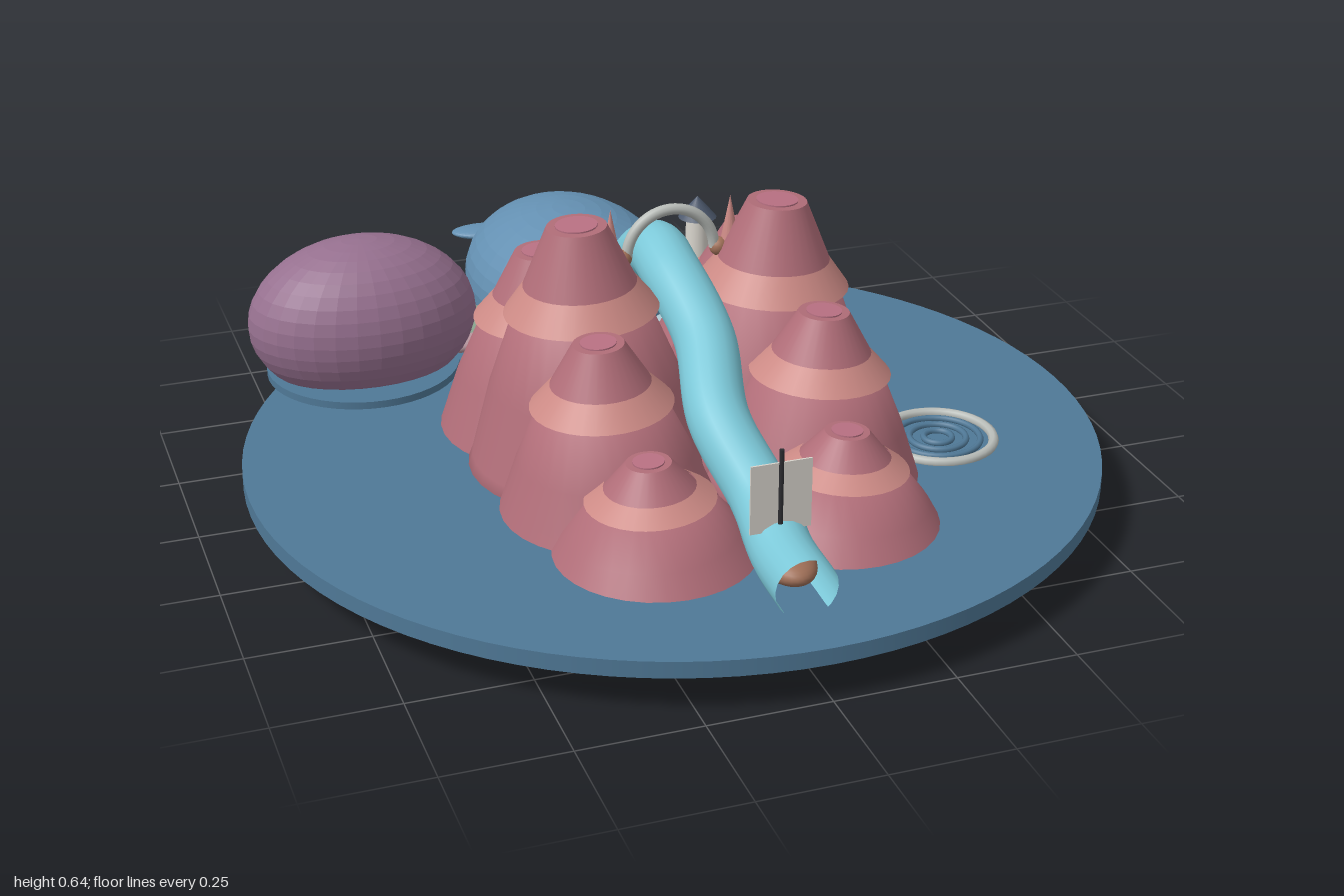
import * as THREE from 'three';

const V2 = (x, y) => new THREE.Vector2(x, y);
const V3 = (x, y, z) => new THREE.Vector3(x, y, z);
const mat = (color, flat = false) =>
  new THREE.MeshStandardMaterial({ color, flatShading: flat, side: THREE.DoubleSide });

const sea = mat(0x4f7896), rock = mat(0xb06d78), ledge = mat(0xcc8a85), crater = mat(0xb87082);
const water = mat(0x7cc8d8), skin = mat(0x6490b2, true), belly = mat(0xb4b8b4, true);
const mauve = mat(0x96708f, true), grass = mat(0x8ea892), shore = mat(0xb898a0);
const stone = mat(0xb8bcb8), cream = mat(0xd8d4cc), slate = mat(0x4c586c);
const wood = mat(0xa07058), dark = mat(0x2c2c30), foam = mat(0xb0ccd6), red = mat(0x7c3c44);

export function createModel() {
  const model = new THREE.Group();

  const add = (name, geometry, material, x = 0, y = 0, z = 0, parent = model) => {
    const mesh = new THREE.Mesh(geometry, material);
    mesh.name = name;
    mesh.position.set(x, y, z);
    parent.add(mesh);
    return mesh;
  };
  const ellipsoid = (name, material, r, x, y, z, yaw = 0) => {
    const mesh = add(name, new THREE.SphereGeometry(1, 32, 20), material, x, y, z);
    mesh.scale.set(...r);
    mesh.rotation.y = yaw;
    return mesh;
  };

  // Round sea plate
  add('seaDisc', new THREE.CylinderGeometry(0.905, 0.905, 0.035, 96), sea, 0, 0.0975, 0.095);

  // Two rows of stepped mountains, each a flared body, a pale ledge and a cap
  const mountain = (side, x, z, top, base, ledgeR, topR) => {
    const g = new THREE.Group();
    g.name = 'mountain';
    const h = top - 0.055, y1 = h * 0.69, y2 = h * 0.8;
    add('mountainBody', new THREE.LatheGeometry([
      V2(0, 0), V2(base, 0), V2(base * 0.86, h * 0.16), V2(base * 0.7, h * 0.42),
      V2(ledgeR * 0.85, y1 + 0.01), V2(0, y1 + 0.01),
    ], 32), rock, 0, 0, 0, g);
    add('mountainLedge', new THREE.CylinderGeometry(ledgeR * 0.7, ledgeR, y2 - y1, 32, 1, true),
      ledge, 0, (y1 + y2) / 2, 0, g);
    add('mountainCap', new THREE.CylinderGeometry(topR, ledgeR * 0.74, h - y2 + 0.01, 32),
      rock, 0, (h + y2 - 0.01) / 2, 0, g);
    add('crater', new THREE.CylinderGeometry(topR * 0.7, topR * 0.7, 0.006, 24), crater, 0, h, 0, g);
    g.position.set(side * x, 0.055, z);
    g.rotation.z = -side * 0.045;
    model.add(g);
  };
  for (const side of [-1, 1]) {
    mountain(side, 0.215, -0.07, 0.51, 0.275, 0.15, 0.055);
    mountain(side, 0.19, 0.13, 0.64, 0.285, 0.16, 0.062);
    mountain(side, 0.22, 0.34, 0.475, 0.255, 0.145, 0.052);
    mountain(side, 0.195, 0.55, 0.31, 0.25, 0.13, 0.045);
  }

  // Water channel climbing from the whale and running down to the front
  const course = new THREE.CatmullRomCurve3([
    V3(0, 0.22, -0.34), V3(-0.01, 0.35, -0.2), V3(0, 0.5, -0.02), V3(0, 0.49, 0.09),
    V3(0.015, 0.41, 0.25), V3(-0.015, 0.31, 0.42), V3(0.015, 0.21, 0.58),
    V3(0.005, 0.165, 0.72), V3(0, 0.16, 0.86),
  ]);
  add('waterChute', new THREE.TubeGeometry(course, 80, 0.063, 20), water);
  const lip = add('chuteRim', new THREE.TorusGeometry(0.064, 0.008, 8, 20, Math.PI), red, 0, 0.24, -0.315);
  lip.rotation.x = -0.7;

  // Small boat at the end of the chute, with mast and sail
  ellipsoid('boatHull', wood, [0.055, 0.033, 0.09], 0, 0.165, 0.75);
  add('mast', new THREE.CylinderGeometry(0.005, 0.005, 0.21, 8), dark, 0, 0.28, 0.72);
  add('sail', new THREE.BoxGeometry(0.125, 0.145, 0.004), cream, 0.002, 0.283, 0.715);

  // Arch over the summit, with a horn at each foot
  add('arch', new THREE.TorusGeometry(0.095, 0.012, 10, 32, Math.PI), stone, 0, 0.535, 0.085);
  for (const side of [-1, 1]) {
    add('archHorn', new THREE.ConeGeometry(0.026, 0.13, 16), ledge, side * 0.13, 0.58, 0.085);
    add('archFoot', new THREE.SphereGeometry(0.02, 16, 12), wood, side * 0.105, 0.535, 0.085);
  }

  // Whale with pale belly and two flukes
  ellipsoid('whaleBody', skin, [0.24, 0.178, 0.325], 0, 0.187, -0.638);
  ellipsoid('whaleBelly', belly, [0.2, 0.15, 0.26], 0, 0.15, -0.61);
  for (const side of [-1, 1])
    ellipsoid('whaleFluke', skin, [0.092, 0.015, 0.043], side * 0.11, 0.198, -0.95, side * 0.2);
  add('foamBlock', new THREE.BoxGeometry(0.36, 0.07, 0.09), foam, 0, 0.15, -0.375);

  // Large egg-shaped dome on its round collar
  ellipsoid('dome', mauve, [0.25, 0.18, 0.175], -0.565, 0.3, -0.327);
  add('domeCollar', new THREE.CylinderGeometry(0.21, 0.21, 0.016, 48), sea, -0.568, 0.182, -0.33);

  // Islands either side of the whale
  for (const side of [-1, 1]) {
    const x = side * 0.335, z = side > 0 ? -0.565 : -0.545, yaw = side * 0.14;
    ellipsoid('islandShore', shore, [0.18, 0.032, 0.122], x, 0.14, z, yaw);
    ellipsoid('islandGrass', grass, [0.15, 0.04, 0.098], x, 0.145, z, yaw);
  }

  // Lighthouse
  add('lighthouseTower', new THREE.CylinderGeometry(0.026, 0.032, 0.17, 20), cream, 0.29, 0.255, -0.555);
  add('lighthouseRoof', new THREE.ConeGeometry(0.045, 0.052, 20), slate, 0.29, 0.36, -0.555);

  // Whirlpool of flat rings
  const ring = (name, R, tube, material) => {
    const mesh = add(name, new THREE.TorusGeometry(R, tube, 8, 40), material, 0.53, 0.119, 0.29);
    mesh.rotation.x = Math.PI / 2;
  };
  ring('whirlpoolRim', 0.118, 0.011, stone);
  for (const R of [0.09, 0.06, 0.03]) ring('whirlpoolRipple', R, 0.007, sea);

  return model;
}
